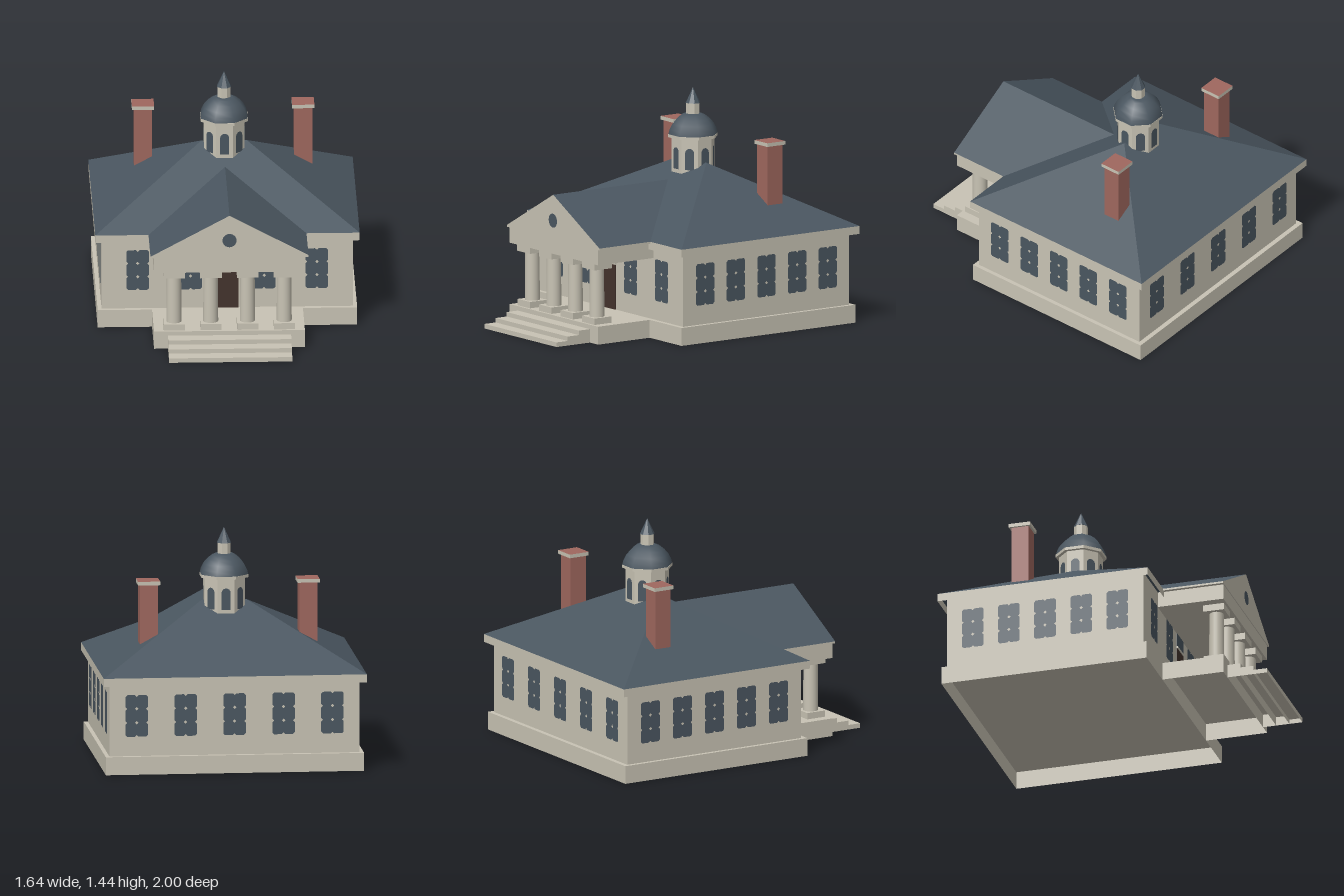
import * as THREE from 'three';
import { mergeGeometries } from 'three/addons/utils/BufferGeometryUtils.js';

const mat = (name, color, side = THREE.DoubleSide) => {
  const m = new THREE.MeshStandardMaterial({ color, side });
  m.name = name;
  return m;
};

export function createModel() {
  const stone = mat('stone', 0xc8c3b4);
  const slate = mat('slate', 0x4a5660);
  const brick = mat('brick', 0x9f675e);
  const doorWood = mat('door wood', 0x43322c);
  const root = new THREE.Group();
  root.name = 'house';

  const add = (name, geo, material, parent = root) => {
    const m = new THREE.Mesh(geo, material);
    m.name = name;
    parent.add(m);
    return m;
  };

  // Box from its limits; skip lists faces left open (0 +x, 1 -x, 2 top, 3 bottom, 4 front, 5 back)
  const box = (x0, x1, y0, y1, z0, z1, skip = []) => {
    const g = new THREE.BoxGeometry(x1 - x0, y1 - y0, z1 - z0);
    g.translate((x0 + x1) / 2, (y0 + y1) / 2, (z0 + z1) / 2);
    if (skip.length) {
      const idx = Array.from(g.index.array);
      g.setIndex(idx.filter((_, i) => !skip.includes(Math.floor(i / 6))));
      g.clearGroups();
    }
    return g;
  };

  // Flat polygons, each a counter-clockwise list of corners
  const faces = (polys) => {
    const pos = [];
    for (const p of polys)
      for (let i = 1; i < p.length - 1; i++) pos.push(...p[0], ...p[i], ...p[i + 1]);
    const g = new THREE.BufferGeometry();
    g.setAttribute('position', new THREE.Float32BufferAttribute(pos, 3));
    g.computeVertexNormals();
    return g;
  };

  // Octagonal turned part with flat sides facing the axes; r is measured to the flats
  const octagon = (profile) => new THREE.LatheGeometry(
    profile.map(([r, y]) => new THREE.Vector2(r / Math.cos(Math.PI / 8), y)), 8, Math.PI / 8);
  const prism = (r, y0, y1) => {
    const R = r / Math.cos(Math.PI / 8);
    return new THREE.CylinderGeometry(R, R, y1 - y0, 8, 1, false, Math.PI / 8)
      .toNonIndexed().translate(0, (y0 + y1) / 2, 0);
  };
  const flat = (g) => { g.computeVertexNormals(); return g; };

  // Foundation and walls
  add('foundation', box(-0.805, 0.805, 0, 0.113, -0.98, 0.35, [3]), stone);
  add('walls', box(-0.78, 0.78, 0.113, 0.6, -0.95, 0.32, [2, 3]), stone);
  add('cornice', box(-0.82, 0.82, 0.56, 0.61, -1, 0.36, [2, 3]), stone);

  // Hipped main roof
  const e = 0.61, ry = 0.98, rz = -0.32;
  const A = [-0.82, e, 0.36], B = [0.82, e, 0.36], C = [0.82, e, -1], D = [-0.82, e, -1];
  const L = [-0.14, ry, rz], R = [0.14, ry, rz];
  add('mainRoof', faces([[A, B, R, L], [C, D, L, R], [B, C, R], [D, A, L]]), slate);

  // Portico floor and steps
  add('porticoFloor', box(-0.468, 0.468, 0, 0.113, 0.35, 0.745, [3, 5]), stone);
  [0.085, 0.057, 0.029].forEach((h, i) => {
    const z = 0.745 + i * 0.085;
    add('step', box(-0.382, 0.382, 0, h, z, z + 0.085, [3, 5]), stone);
  });

  // Portico columns
  for (const x of [-0.342, -0.114, 0.114, 0.342]) {
    const column = new THREE.Group();
    column.name = 'column';
    column.position.set(x, 0, 0.663);
    root.add(column);
    add('plinth', box(-0.065, 0.065, 0.113, 0.153, -0.065, 0.065), stone, column);
    add('shaft', new THREE.CylinderGeometry(0.045, 0.047, 0.31, 24).translate(0, 0.305, 0), stone, column);
    add('capital', box(-0.067, 0.067, 0.457, 0.5, -0.067, 0.067), stone, column);
  }

  // Entablature, pediment and gable roof
  add('entablature', box(-0.468, 0.468, 0.5, 0.6, 0.32, 0.745), stone);
  add('porticoEave', box(-0.49, 0.49, 0.598, e, 0.34, 0.75), stone);
  const gy = 0.875, gz = 0.75, back = -0.127;
  add('pediment', faces([[[-0.49, e, gz], [0.49, e, gz], [0, gy, gz]]]), stone);
  add('porticoRoof', faces([
    [[0.49, e, gz], [0.49, e, 0.36], [0, gy, back], [0, gy, gz]],
    [[-0.49, e, 0.36], [-0.49, e, gz], [0, gy, gz], [0, gy, back]],
  ]), slate);
  add('roundWindow', new THREE.CircleGeometry(0.044, 24).translate(0, 0.712, gz + 0.003), slate);

  // Door with lintel and transom
  add('door', box(-0.068, 0.068, 0.113, 0.397, 0.32, 0.325), doorWood);
  add('lintel', box(-0.072, 0.072, 0.397, 0.41, 0.32, 0.33), stone);
  add('transom', box(-0.07, 0.07, 0.41, 0.498, 0.32, 0.325), slate);

  // Window of two by three panes with clipped corners
  const pw = 0.035, ph = 0.0437, c = 0.011;
  const pane = new THREE.ShapeGeometry(new THREE.Shape([
    [-pw + c, -ph], [pw - c, -ph], [pw, -ph + c], [pw, ph - c],
    [pw - c, ph], [-pw + c, ph], [-pw, ph - c], [-pw, -ph + c],
  ].map((p) => new THREE.Vector2(...p))));
  const panes = [];
  for (const sx of [-1, 1])
    for (const row of [-1, 0, 1]) panes.push(pane.clone().translate(sx * pw, 0.366 + row * 2 * ph, 0));
  const windowGeo = mergeGeometries(panes);
  const addWindow = (x, z, turn) => {
    const w = add('window', windowGeo, slate);
    w.position.set(x, 0, z);
    w.rotation.y = turn;
  };
  for (const x of [-0.556, -0.228, 0.228, 0.556]) addWindow(x, 0.324, 0);
  for (let i = -2; i <= 2; i++) {
    addWindow(i * 0.305, -0.954, Math.PI);
    for (const s of [-1, 1]) addWindow(s * 0.784, -0.315 + i * 0.234, s * Math.PI / 2);
  }

  // Chimneys, with a brick top inside each stone cap
  for (const s of [-1, 1]) {
    const chimney = new THREE.Group();
    chimney.name = 'chimney';
    chimney.position.set(s * 0.497, 0, -0.547);
    root.add(chimney);
    add('stack', box(-0.056, 0.056, 0.68, 1.127, -0.056, 0.056), brick, chimney);
    add('cap', box(-0.069, 0.069, 1.127, 1.15, -0.069, 0.069),
      [stone, stone, brick, stone, stone, stone], chimney);
  }

  // Octagonal cupola
  const cupola = new THREE.Group();
  cupola.name = 'cupola';
  cupola.position.set(0, 0, -0.318);
  root.add(cupola);
  add('drum', flat(prism(0.126, 0.86, 1.13)), stone, cupola);
  add('drumCornice', flat(prism(0.146, 1.127, 1.146)), stone, cupola);
  add('dome', octagon([[0.145, 1.146], [0.138, 1.175], [0.122, 1.208], [0.098, 1.238],
    [0.07, 1.262], [0.05, 1.272], [0, 1.275]]), slate, cupola);
  add('lantern', flat(prism(0.04, 1.26, 1.34)), stone, cupola);
  add('spire', flat(new THREE.ConeGeometry(0.046, 0.098, 8, 1, false, Math.PI / 8)
    .toNonIndexed().translate(0, 1.388, 0)), slate, cupola);

  // Arched cupola windows
  const arch = new THREE.Shape();
  arch.moveTo(-0.028, 0.935);
  arch.lineTo(0.028, 0.935);
  arch.lineTo(0.028, 1.042);
  arch.absarc(0, 1.042, 0.028, 0, Math.PI);
  const archGeo = new THREE.ShapeGeometry(arch, 8).translate(0, 0, 0.129);
  for (let i = 0; i < 8; i++)
    add('cupolaWindow', archGeo, slate, cupola).rotation.y = i * Math.PI / 4;

  return root;
}
